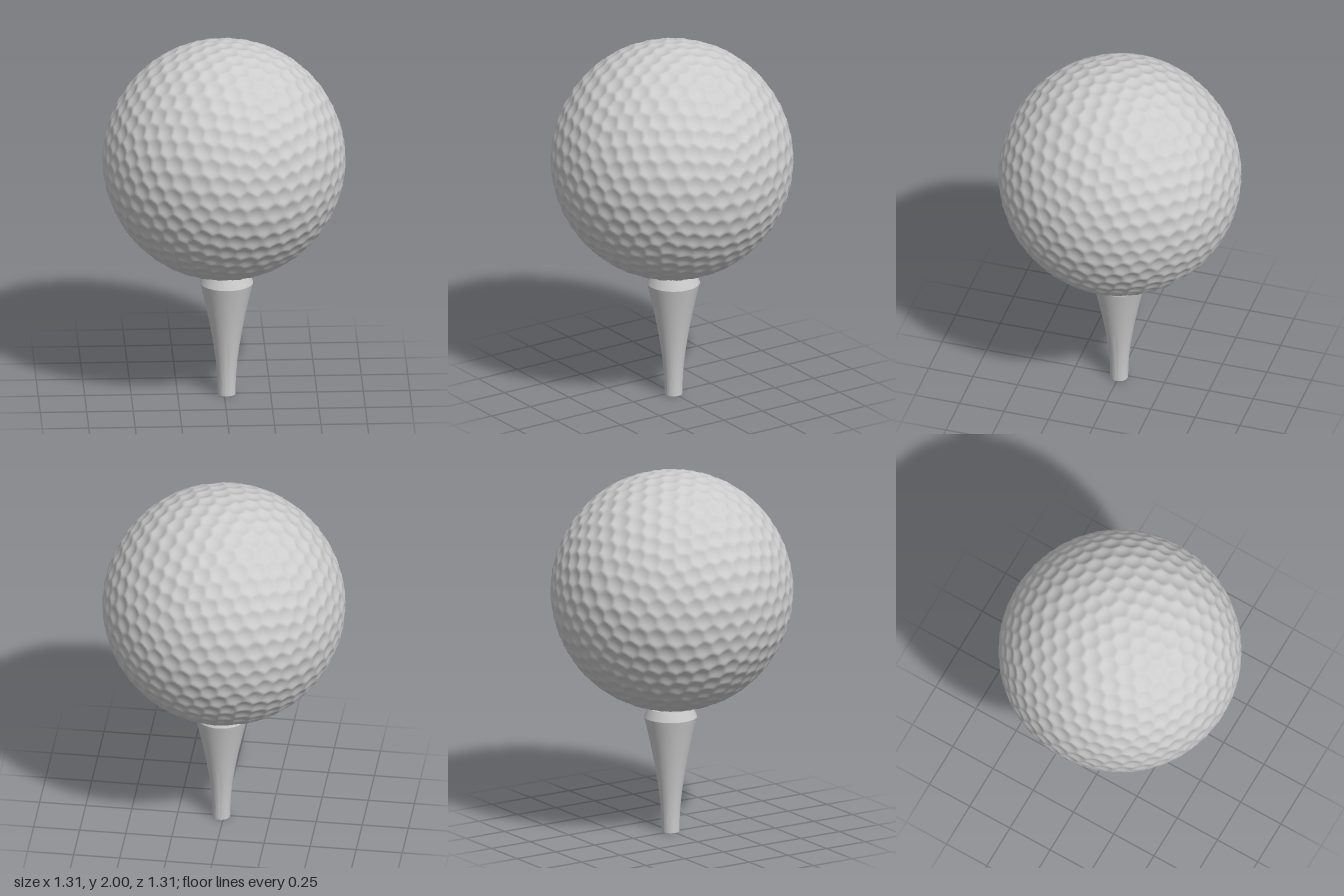
import * as THREE from 'three';
import { toCreasedNormals } from 'three/addons/utils/BufferGeometryUtils.js';

const RADIUS = 0.655;
const DIMPLE_ANGLE = 0.083;
const DIMPLE_DEPTH = 0.013;

// Unit icosahedron with a corner at each pole
function icosahedron() {
  const points = [new THREE.Vector3(0, 1, 0)];
  const ring = (y, offset) => {
    for (let i = 0; i < 5; i++) {
      const a = offset + (i * Math.PI * 2) / 5;
      points.push(new THREE.Vector3(Math.cos(a) * 2, y, Math.sin(a) * 2).normalize());
    }
  };
  ring(1, 0);
  ring(-1, Math.PI / 5);
  points.push(new THREE.Vector3(0, -1, 0));
  const faces = [];
  for (let i = 0; i < 5; i++) {
    const n = (i + 1) % 5;
    faces.push([0, 1 + n, 1 + i], [1 + i, 1 + n, 6 + i], [1 + n, 6 + n, 6 + i], [6 + i, 6 + n, 11]);
  }
  return { points, faces };
}

// Splits every triangle into four on the unit sphere, sharing corners
function subdivide({ points, faces }) {
  const out = points.slice();
  const cache = new Map();
  const mid = (a, b) => {
    const key = a < b ? `${a}_${b}` : `${b}_${a}`;
    if (!cache.has(key)) {
      cache.set(key, out.length);
      out.push(points[a].clone().add(points[b]).normalize());
    }
    return cache.get(key);
  };
  const split = [];
  for (const [a, b, c] of faces) {
    const ab = mid(a, b), bc = mid(b, c), ca = mid(c, a);
    split.push([a, ab, ca], [ab, b, bc], [ca, bc, c], [ab, bc, ca]);
  }
  return { points: out, faces: split };
}

// Sphere pressed in around each of the 642 dimple centres
function dimpledBall() {
  let sphere = icosahedron();
  for (let i = 0; i < 3; i++) sphere = subdivide(sphere);
  const centres = sphere.points;
  for (let i = 0; i < 3; i++) sphere = subdivide(sphere);

  const positions = [];
  for (const p of sphere.points) {
    let best = -1;
    for (const c of centres) best = Math.max(best, p.x * c.x + p.y * c.y + p.z * c.z);
    const t = Math.min(1, Math.acos(Math.min(1, best)) / DIMPLE_ANGLE);
    const r = RADIUS - DIMPLE_DEPTH * Math.pow(1 - t * t, 1.2);
    positions.push(p.x * r, p.y * r, p.z * r);
  }
  const geometry = new THREE.BufferGeometry();
  geometry.setAttribute('position', new THREE.Float32BufferAttribute(positions, 3));
  geometry.setIndex(sphere.faces.flat());
  geometry.computeVertexNormals();
  return geometry;
}

// Flared peg with a bevelled rim and a shallow cup
function teePeg() {
  const stem = new THREE.SplineCurve([
    [0.048, 0], [0.051, 0.1], [0.062, 0.22], [0.085, 0.37], [0.115, 0.52], [0.143, 0.64],
  ].map(([r, y]) => new THREE.Vector2(r, y))).getPoints(20);
  const profile = [
    new THREE.Vector2(0, 0), ...stem,
    new THREE.Vector2(0.122, 0.692), new THREE.Vector2(0.06, 0.682), new THREE.Vector2(0, 0.678),
  ];
  return toCreasedNormals(new THREE.LatheGeometry(profile, 48), Math.PI / 6);
}

export function createModel() {
  const group = new THREE.Group();
  const material = new THREE.MeshStandardMaterial({ color: 0xcccccc });

  const ball = new THREE.Mesh(dimpledBall(), material);
  ball.name = 'ball';
  ball.position.y = 2 - RADIUS;
  group.add(ball);

  const tee = new THREE.Mesh(teePeg(), material);
  tee.name = 'tee';
  tee.position.x = 0.014;
  group.add(tee);

  return group;
}
